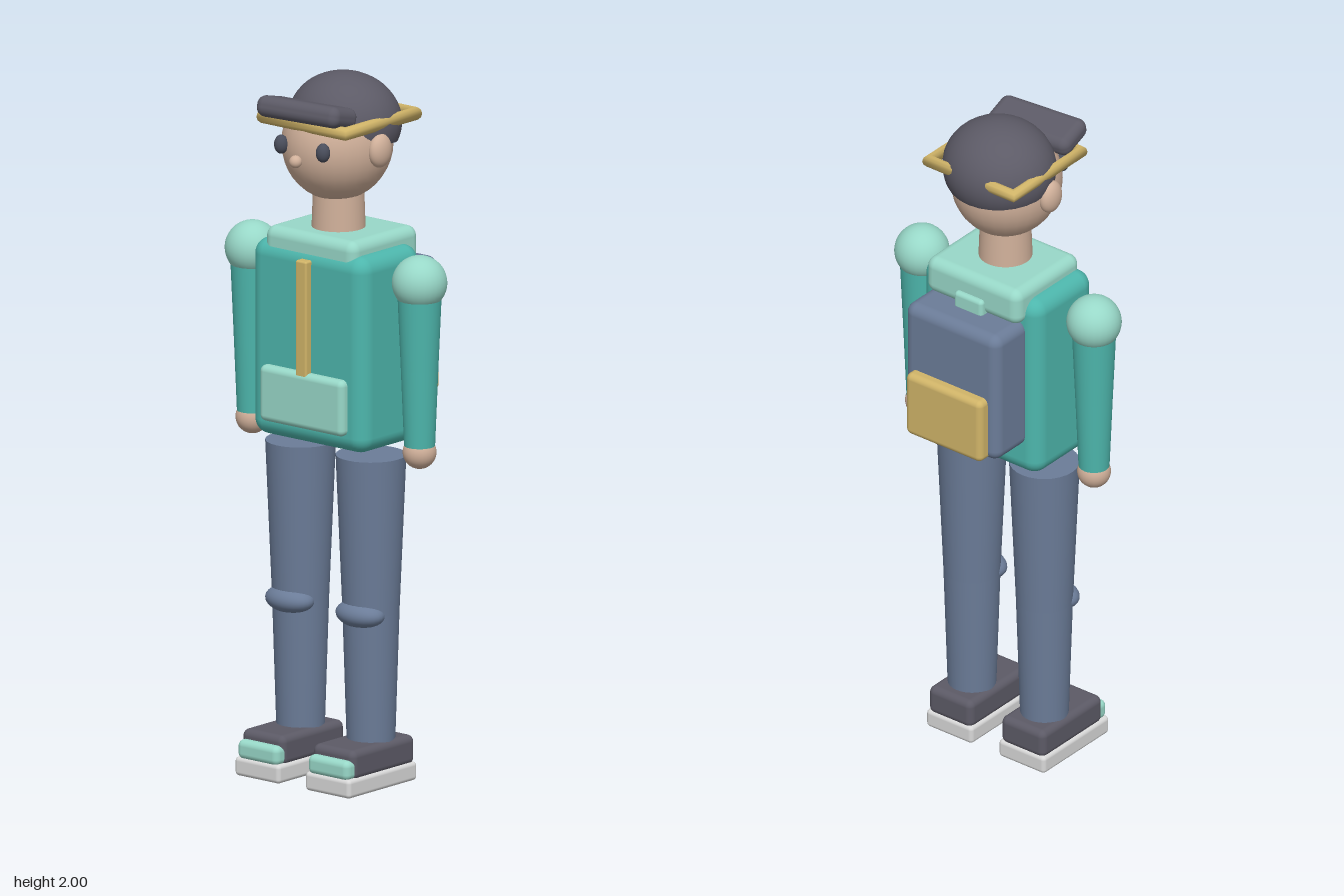
import * as THREE from 'three';
import { RoundedBoxGeometry } from 'three/addons/geometries/RoundedBoxGeometry.js';

const mat = (name, color, side = THREE.FrontSide) =>
  Object.assign(new THREE.MeshStandardMaterial({ color, side }), { name });

export function createModel() {
  const teal = mat('teal jacket', 0x4db6ac);
  const mint = mat('mint trim', 0x98d8c8);
  const denim = mat('denim blue', 0x6b7c98);
  const gold = mat('gold trim', 0xd0b468);
  const dark = mat('charcoal', 0x5c5a66, THREE.DoubleSide);
  const skin = mat('skin', 0xd0b09a);
  const eyeMat = mat('eye', 0x4a4e5c);
  const white = mat('sole', 0xd8d8d8);

  const model = new THREE.Group();
  model.name = 'walker';

  const add = (name, geometry, material, x, y, z) => {
    const mesh = new THREE.Mesh(geometry, material);
    mesh.name = name;
    mesh.position.set(x, y, z);
    model.add(mesh);
    return mesh;
  };
  // Rounded box given by its x centre, width and its y and z ranges
  const box = (name, material, x, w, [y0, y1], [z0, z1], r) =>
    add(name, new RoundedBoxGeometry(w, y1 - y0, z1 - z0, 4, r), material,
      x, (y0 + y1) / 2, (z0 + z1) / 2);
  const ball = (name, material, x, y, z, rx, ry = rx, rz = rx) =>
    add(name, new THREE.SphereGeometry(1, 28, 20).scale(rx, ry, rz), material, x, y, z);
  // Tapered upright limb from y1 down to y0
  const limb = (name, material, x, z, y1, y0, rTop, rBottom) =>
    add(name, new THREE.CylinderGeometry(rTop, rBottom, y1 - y0, 28), material, x, (y0 + y1) / 2, z);

  // Jacket
  box('torso', teal, 0, 0.414, [0.965, 1.525], [-0.085, 0.175], 0.045);
  box('collar', mint, 0, 0.33, [1.455, 1.565], [-0.12, 0.165], 0.03);
  box('zip', gold, 0, 0.04, [1.155, 1.495], [0.16, 0.197], 0.006);
  box('frontPocket', mint, 0, 0.304, [1.015, 1.175], [0.15, 0.2], 0.018);

  // Backpack
  box('backpack', denim, 0, 0.33, [1.06, 1.46], [-0.212, -0.06], 0.032);
  box('backpackPocket', gold, 0, 0.268, [1.065, 1.26], [-0.245, -0.19], 0.018);
  box('backpackHandle', mint, 0, 0.1, [1.45, 1.505], [-0.135, -0.1], 0.012);

  // Head and face
  limb('neck', skin, 0, 0.035, 1.7, 1.53, 0.07, 0.076);
  ball('head', skin, 0, 1.805, 0.04, 0.152, 0.162, 0.16);
  ball('nose', skin, 0, 1.783, 0.218, 0.018);

  // Hair cap, tilted back
  const cap = new THREE.SphereGeometry(1, 28, 16, 0, Math.PI * 2, 0, Math.PI * 0.6);
  const hair = add('hair', cap.scale(0.163, 0.138, 0.152), dark, 0, 1.862, 0.008);
  hair.rotation.x = -0.14;

  // Four-cornered band around the head
  const band = new THREE.TorusGeometry(0.211, 0.019, 10, 4).rotateZ(Math.PI / 4).rotateX(Math.PI / 2);
  add('headBand', band, gold, 0, 1.88, 0.032);

  // Crooked, raised brim
  const brim = box('brim', dark, 0, 0.275, [1.885, 1.945], [0.11, 0.232], 0.026);
  brim.rotation.set(-0.25, 0.1, 0, 'YXZ');

  for (const s of [-1, 1]) {
    const side = s > 0 ? 'left' : 'right';
    ball(side + 'Eye', eyeMat, s * 0.076, 1.815, 0.19, 0.02, 0.027, 0.02);
    ball(side + 'Ear', skin, s * 0.155, 1.806, 0.04, 0.026, 0.048, 0.04);

    // Arm
    const ax = s * 0.304;
    ball(side + 'Shoulder', mint, ax, 1.455, 0.046, 0.077);
    limb(side + 'UpperArm', teal, ax, 0.046, 1.46, 1.21, 0.063, 0.052);
    limb(side + 'Forearm', teal, ax, 0.046, 1.21, 0.99, 0.052, 0.043);
    ball(side + 'Hand', skin, ax, 0.972, 0.046, 0.047);

    // Leg
    const lx = s * 0.128;
    limb(side + 'Thigh', denim, lx, 0.047, 0.937, 0.49, 0.098, 0.079);
    limb(side + 'Shin', denim, lx, 0.047, 0.49, 0.11, 0.079, 0.067);
    ball(side + 'Knee', denim, lx, 0.49, 0.092, 0.078, 0.039, 0.054);

    // Shoe
    box(side + 'Shoe', dark, lx, 0.154, [0.045, 0.13], [-0.055, 0.212], 0.02);
    box(side + 'Sole', white, lx, 0.163, [0, 0.054], [-0.057, 0.235], 0.012);
    box(side + 'ToeCap', mint, lx, 0.148, [0.048, 0.104], [0.165, 0.235], 0.018);
  }
  return model;
}
